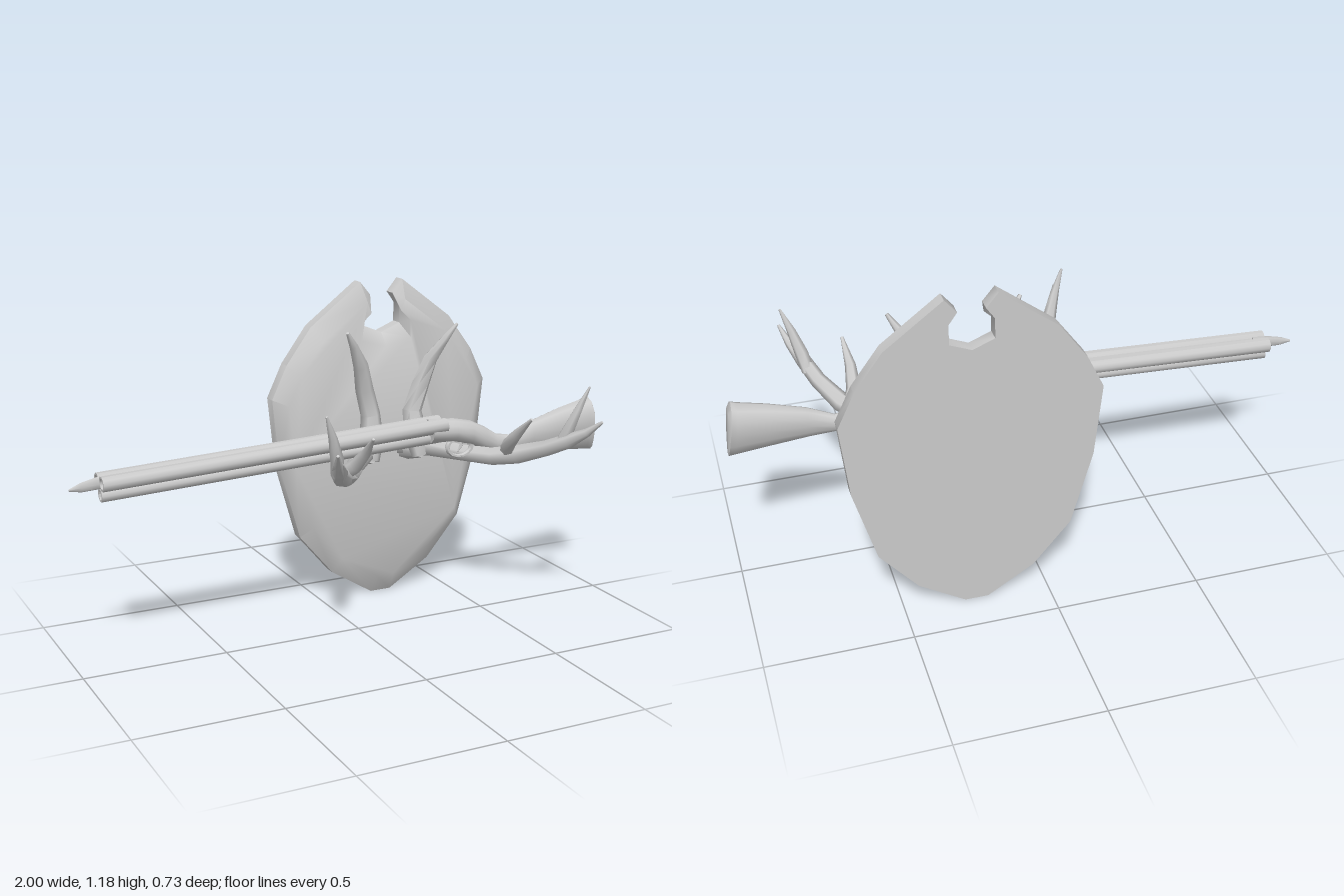
import * as THREE from 'three';
import { toCreasedNormals } from 'three/addons/utils/BufferGeometryUtils.js';

const material = new THREE.MeshStandardMaterial({ color: 0xcccccc });
const CX = 0.25;   // plaque and antler centre line
const GZ = -0.053; // gun centre plane

function part(name, geometry, crease = 0.9) {
  const mesh = new THREE.Mesh(toCreasedNormals(geometry, crease), material);
  mesh.name = name;
  return mesh;
}

// Skin a list of equal-sized rings (counter-clockwise about the path) and cap both ends
function loft(rings) {
  const n = rings[0].length, pos = [], idx = [];
  rings.forEach(r => r.forEach(p => pos.push(p.x, p.y, p.z)));
  for (let i = 0; i < rings.length - 1; i++) {
    for (let j = 0; j < n; j++) {
      const k = (j + 1) % n, a = i * n + j, b = i * n + k;
      idx.push(a, b, b + n, a, b + n, a + n);
    }
  }
  const last = (rings.length - 1) * n;
  for (let j = 1; j < n - 1; j++) {
    idx.push(0, j + 1, j, last, last + j, last + j + 1);
  }
  const g = new THREE.BufferGeometry();
  g.setAttribute('position', new THREE.Float32BufferAttribute(pos, 3));
  g.setIndex(idx);
  return g;
}

// Tapered branch through points [x, y, z, radius]
function branch(points, sides = 6) {
  const c = points.map(p => new THREE.Vector3(p[0], p[1], p[2]));
  const ref = new THREE.Vector3(1, 0.1, -0.3);
  return loft(points.map((p, i) => {
    const t = c[Math.min(i + 1, c.length - 1)].clone().sub(c[Math.max(i - 1, 0)]).normalize();
    const u = new THREE.Vector3().crossVectors(t, ref).normalize();
    const v = new THREE.Vector3().crossVectors(t, u);
    return Array.from({ length: sides }, (_, j) => {
      const a = j / sides * Math.PI * 2;
      return c[i].clone().addScaledVector(u, p[3] * Math.cos(a)).addScaledVector(v, p[3] * Math.sin(a));
    });
  }));
}

// Shield-shaped board with a notch at the top and a bevelled front
function plaque() {
  const half = [[0.04, 0], [0.2, 0.1], [0.33, 0.255], [0.405, 0.52], [0.432, 0.78], [0.375, 0.9],
    [0.28, 1.03], [0.085, 1.178], [0.045, 1.13], [0.073, 1.09], [0.073, 1.02]];
  const outline = [...half, [0, 0.99], ...half.map(([x, y]) => [-x, y]).reverse()];
  const shape = new THREE.Shape(outline.map(p => new THREE.Vector2(p[0], p[1])));
  const g = new THREE.ExtrudeGeometry(shape, { depth: 1, steps: 2, bevelEnabled: false });
  const p = g.attributes.position;
  for (let i = 0; i < p.count; i++) {
    let x = p.getX(i), y = p.getY(i);
    const z = p.getZ(i);
    if (z > 0.9) { // front rim moves inward, and away from the notch
      const inNotch = Math.abs(x) < 0.08 && y > 0.95;
      x *= inNotch ? 1.35 : 0.89;
      y = 0.62 + (y - 0.62) * 0.88;
    }
    p.setXYZ(i, CX + x, y, z > 0.9 ? -0.28 : z > 0.4 ? -0.322 : -0.368);
  }
  return part('plaque', g);
}

// One antler, s = +1 left or -1 right; points are [offset, y, z, radius]
function antler(s) {
  const group = new THREE.Group();
  group.name = s > 0 ? 'leftAntler' : 'rightAntler';
  const add = (name, pts) =>
    group.add(part(name, branch(pts.map(([x, y, z, r]) => [CX + s * x, y, z, r])), 1.1));
  add('mainBeam', [[0.075, 0.565, -0.3, 0.042], [0.13, 0.577, -0.2, 0.037], [0.215, 0.567, -0.1, 0.032],
    [0.285, 0.568, 0, 0.033], [0.345, 0.585, 0.07, 0.034], [0.405, 0.625, 0.17, 0.028],
    [0.44, 0.665, 0.25, 0.026], [0.475, 0.705, 0.31, 0.015], [0.5, 0.75, 0.362, 0.005]]);
  add('upperTine', [[0.1, 0.545, -0.2, 0.03], [0.09, 0.62, -0.22, 0.045], [0.085, 0.71, -0.238, 0.036],
    [0.115, 0.81, -0.228, 0.033], [0.14, 0.9, -0.205, 0.027], [0.185, 0.98, -0.17, 0.015],
    [0.218, 1.032, -0.15, 0.006]]);
  add('outerTine', [[0.43, 0.64, 0.21, 0.022], [0.445, 0.7, 0.24, 0.023],
    [0.47, 0.78, 0.262, 0.015], [0.5, 0.858, 0.28, 0.004]]);
  add('innerTine', [[0.335, 0.575, 0.02, 0.026], [0.3, 0.625, 0.08, 0.026],
    [0.295, 0.68, 0.145, 0.019], [0.305, 0.75, 0.222, 0.005]]);
  // flared foot against the plaque
  add('foot', [[0.085, 0.55, -0.3, 0.042], [0.1, 0.565, -0.2, 0.028]]);
  return group;
}

// Barrels, magazine tube and front spike, laid along +x then tilted
function barrels() {
  const group = new THREE.Group();
  group.name = 'barrels';
  const tube = (name, r, y, z) => {
    const length = 1.26;
    const profile = [[0, 0.08], [r * 0.7, 0.08], [r * 0.7, 0], [r, 0], [r, length], [0, length]]
      .map(p => new THREE.Vector2(p[0], p[1]));
    const mesh = part(name, new THREE.LatheGeometry(profile, 10).rotateZ(-Math.PI / 2));
    mesh.position.set(0, y, z);
    group.add(mesh);
  };
  tube('leftBarrel', 0.026, 0.02, 0.026);
  tube('rightBarrel', 0.026, 0.02, -0.026);
  tube('lowerTube', 0.023, -0.024, 0);
  // rib joining the tubes
  const rib = part('rib', new THREE.BoxGeometry(1.24, 0.04, 0.014));
  rib.position.set(0.63, 0.015, 0);
  group.add(rib);
  // flattened spike between the muzzles
  const spike = part('spike', branch([[0.05, 0.02, 0, 0.022], [-0.01, 0.018, 0, 0.021],
    [-0.06, 0.013, 0, 0.016], [-0.1, 0.01, 0, 0.004]], 8));
  spike.scale.z = 0.4;
  group.add(spike);
  group.position.set(-0.9, 0.62, GZ);
  group.rotation.z = Math.atan(0.045);
  return group;
}

// Receiver, grip and butt skinned in one piece
function stock() {
  // [x, top, bottom, half width, egg shape, end slant]
  const sections = [[0.3, 0.718, 0.632, 0.05, 0, 0], [0.4, 0.712, 0.628, 0.047, 0, 0],
    [0.47, 0.697, 0.61, 0.038, 0, 0], [0.53, 0.668, 0.583, 0.028, 0, 0],
    [0.58, 0.636, 0.567, 0.021, 0, 0], [0.64, 0.625, 0.561, 0.021, 0.1, 0],
    [0.73, 0.668, 0.555, 0.029, 0.25, 0], [0.86, 0.705, 0.543, 0.041, 0.35, 0.005],
    [0.965, 0.728, 0.532, 0.049, 0.4, 0.012], [0.985, 0.735, 0.53, 0.05, 0.4, 0.013],
    [0.992, 0.715, 0.545, 0.038, 0.4, 0.008]];
  const n = 12;
  return part('stock', loft(sections.map(([x, top, bottom, w, egg, slant]) =>
    Array.from({ length: n }, (_, j) => {
      const a = j / n * Math.PI * 2, c = Math.cos(a);
      return new THREE.Vector3(x - slant * c, (top + bottom) / 2 + (top - bottom) / 2 * c,
        GZ + w * Math.sin(a) * (1 + egg * c) / (1 + egg * 0.3));
    }))));
}

export function createModel() {
  const model = new THREE.Group();
  model.name = 'wallMountedGun';
  const gun = new THREE.Group();
  gun.name = 'gun';
  gun.add(barrels(), stock());

  const guard = part('triggerGuard', new THREE.TorusGeometry(0.05, 0.009, 6, 14));
  guard.scale.set(1, 0.7, 1.2);
  guard.position.set(0.43, 0.605, GZ);
  const trigger = part('trigger', branch([[0.44, 0.64, GZ, 0.008], [0.435, 0.605, GZ, 0.006],
    [0.422, 0.585, GZ, 0.003]]));
  gun.add(guard, trigger);

  model.add(plaque(), antler(1), antler(-1), gun);
  return model;
}
